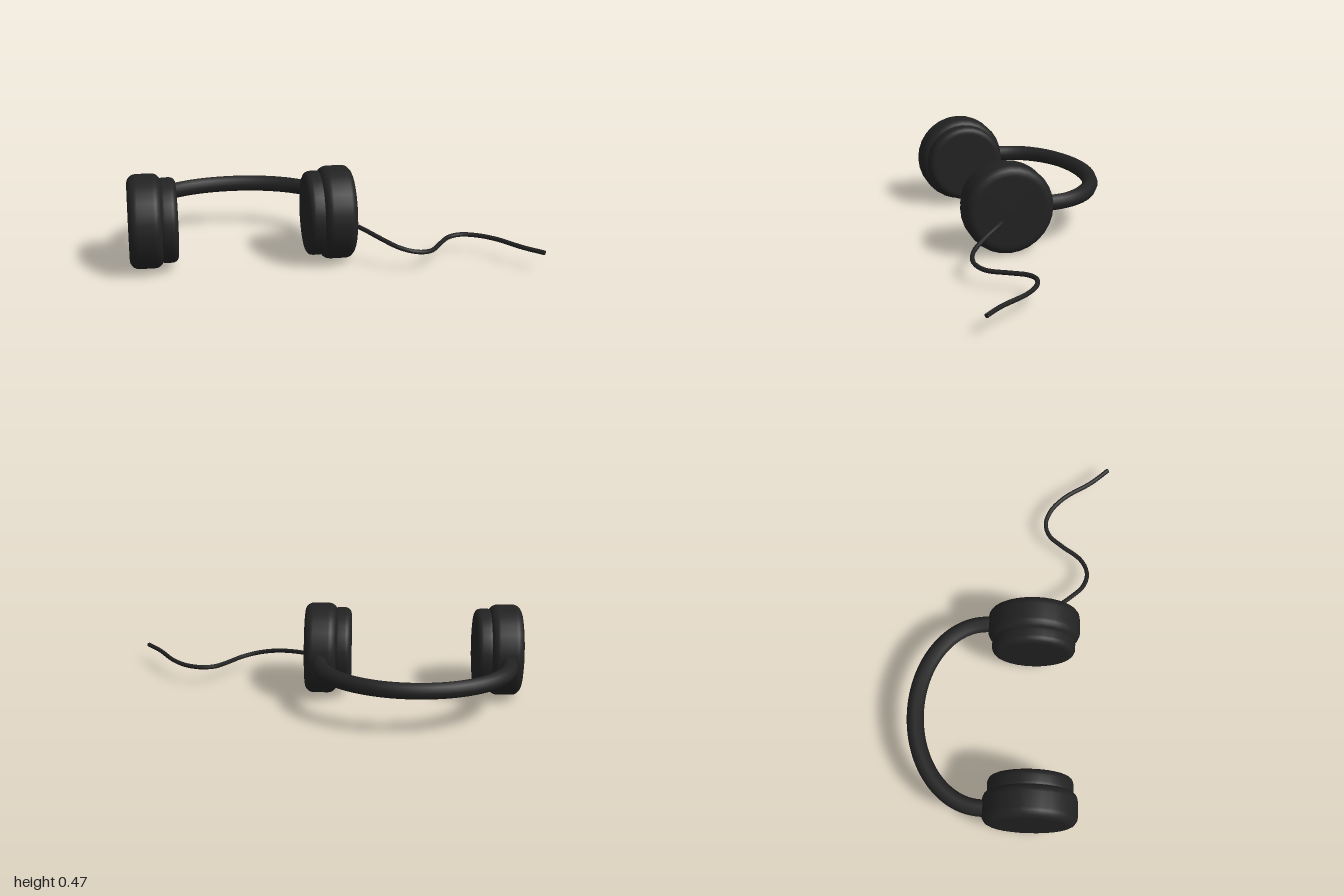
import * as THREE from 'three';

const CX = -0.448, CY = 0.233, CZ = 0.115; // centre of the headset

// Disc with rounded rims, its axis along x
function roundedDisc(radius, width, corner) {
  const pts = [new THREE.Vector2(0, -width / 2), new THREE.Vector2(radius - corner - 0.01, -width / 2)];
  for (const [y, start] of [[-width / 2 + corner, -Math.PI / 2], [width / 2 - corner, 0]]) {
    for (let i = 0; i <= 5; i++) {
      const a = start + (i / 5) * Math.PI / 2;
      pts.push(new THREE.Vector2(radius - corner + Math.cos(a) * corner, y + Math.sin(a) * corner));
    }
  }
  pts.push(new THREE.Vector2(radius - corner - 0.01, width / 2), new THREE.Vector2(0, width / 2));
  return new THREE.LatheGeometry(pts, 28).rotateZ(Math.PI / 2);
}

export function createModel() {
  const black = new THREE.MeshStandardMaterial({ color: 0x222222 });
  black.name = 'matte black';
  const model = new THREE.Group();
  model.name = 'headphones';

  const add = (geometry, name, x = 0, y = 0, z = 0) => {
    const mesh = new THREE.Mesh(geometry, black);
    mesh.name = name;
    mesh.position.set(x, y, z);
    model.add(mesh);
    return mesh;
  };

  // Ear cups with cushions on their inner sides
  const cup = roundedDisc(0.2325, 0.165, 0.045);
  const cushion = roundedDisc(0.21, 0.095, 0.032);
  for (const [side, s] of [['left', 1], ['right', -1]]) {
    add(cup, side + 'EarCup', CX + s * 0.4695, CY, CZ);
    add(cushion, side + 'Cushion', CX + s * 0.3625, CY, CZ);
  }

  // Headband: half ellipse whose ends run into the cups
  const arch = [new THREE.Vector3(CX - 0.473, CY, -0.05)];
  for (let i = 0; i <= 16; i++) {
    const a = (i / 16) * Math.PI;
    arch.push(new THREE.Vector3(CX - Math.cos(a) * 0.473, CY, -0.115 - Math.sin(a) * 0.348));
  }
  arch.push(new THREE.Vector3(CX + 0.473, CY, -0.05));
  add(new THREE.TubeGeometry(new THREE.CatmullRomCurve3(arch), 64, 0.0425, 8), 'headband');

  // Cable winding away from the left cup
  const path = new THREE.CatmullRomCurve3([
    [0.085, 0.182, 0.155], [0.13, 0.173, 0.197], [0.217, 0.143, 0.297], [0.297, 0.115, 0.368],
    [0.377, 0.096, 0.388], [0.457, 0.085, 0.355], [0.537, 0.087, 0.249], [0.59, 0.091, 0.187],
    [0.655, 0.094, 0.165], [0.735, 0.094, 0.19], [0.816, 0.094, 0.262], [0.912, 0.094, 0.408],
    [0.99, 0.094, 0.498],
  ].map((p) => new THREE.Vector3(...p)));
  add(new THREE.TubeGeometry(path, 80, 0.0115, 8), 'cable');

  // Closed cable tip
  const end = path.getPoint(1);
  const tip = add(new THREE.CircleGeometry(0.0115, 8), 'cableTip', end.x, end.y, end.z);
  tip.lookAt(end.clone().add(path.getTangent(1)));

  return model;
}
